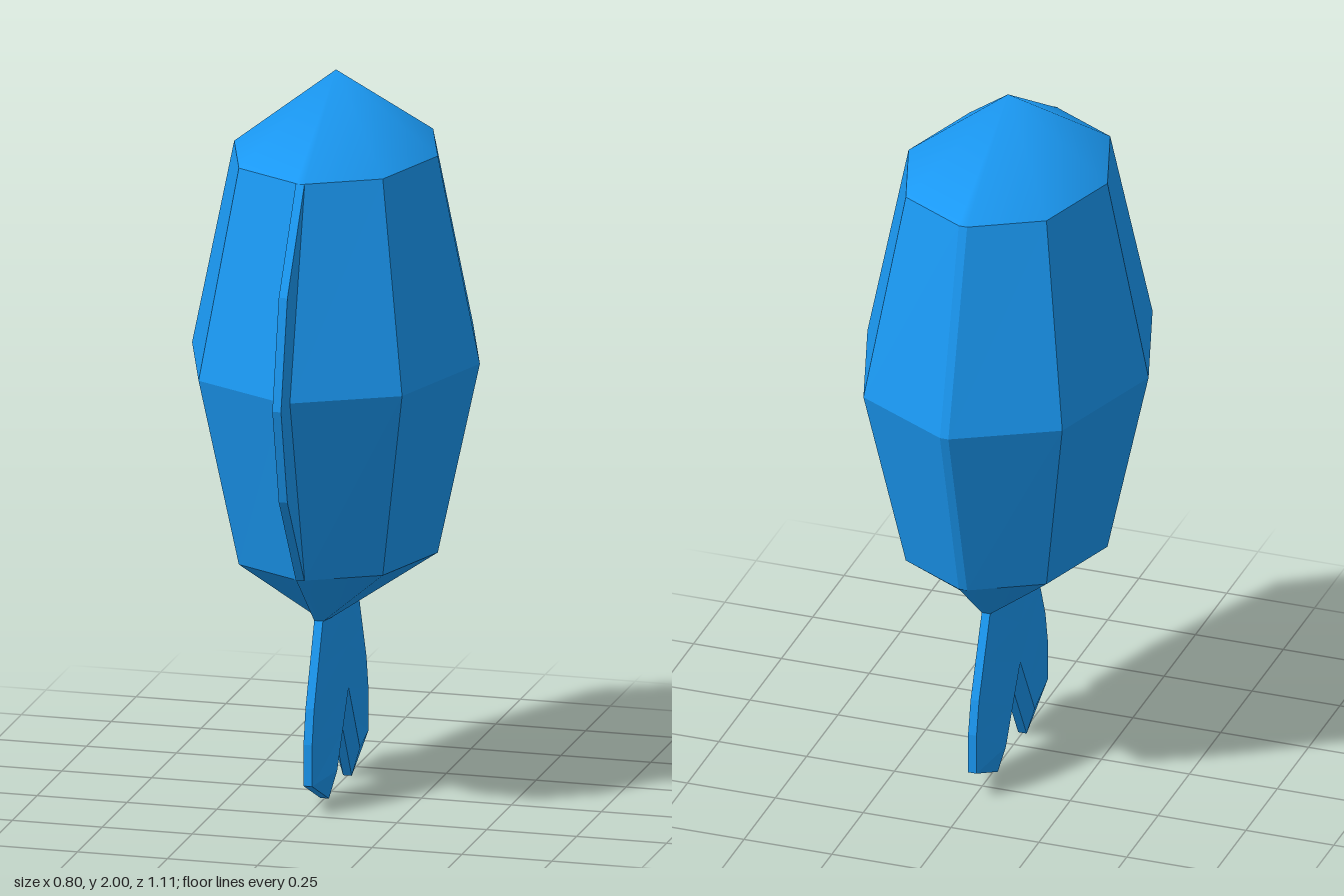
import * as THREE from 'three';
import { mergeVertices } from 'three/addons/utils/BufferGeometryUtils.js';

const MID = -0.045;   // z of the body axis
const EDGE = 0.012;   // half width of the narrow front and back edges
const blue = (flatShading) => new THREE.MeshStandardMaterial({ color: 0x1a98f2, flatShading });

// Skin through closed rings of [x, y, z], listed bottom to top
function loft(rings, extra = [], flip = false) {
  const n = rings[0].length, index = [];
  for (let r = 0; r < rings.length - 1; r++) {
    for (let j = 0; j < n; j++) {
      const a = r * n + j, b = r * n + (j + 1) % n;
      index.push(a, b, b + n, a, b + n, a + n);
    }
  }
  index.push(...extra);
  if (flip) index.reverse();
  const g = new THREE.BufferGeometry();
  g.setAttribute('position', new THREE.Float32BufferAttribute(rings.flat(2), 3));
  g.setIndex(index);
  const merged = mergeVertices(g);
  merged.computeVertexNormals();
  return merged;
}

// Stretched octagon with narrow flats at front and back
function ring(rx, rz, y) {
  const k = Math.SQRT1_2, w = rx > 0 ? EDGE : 0;
  const half = [[w, rz], [k * rx, k * rz], [rx, 0], [k * rx, -k * rz], [w, -rz]];
  const other = half.map(([x, z]) => [-x, z]).reverse();
  return [...half, ...other].map(([x, z]) => [x, y, z + MID]);
}

// One lobe of the forked tail; f = 1 front, -1 back
function tailLobe(f) {
  // each row: outer edge, thick middle, lower ridge as [offset, y]
  const rows = [
    [[0.285, 0.08], [0.115, 0.08], [0.115, 0]],
    [[0.285, 0.195], [0.06, 0.176], [0.06, 0.096]],
    [[0.265, 0.29], [0, 0.28], [0, 0.2]],
    [[0.225, 0.39], [0, 0.4], [0, 0.2]],
    [[0.175, 0.515], [0, 0.515], [0, 0.2]],
  ];
  const T = 0.035;
  const rings = rows.map(([o, i, r]) =>
    [[-EDGE, o], [EDGE, o], [T, i], [EDGE, r], [-EDGE, r], [-T, i]]
      .map(([x, [s, y]]) => [x, y, MID + f * s]));
  const tip = [3, 2, 1, 4, 3, 1, 4, 1, 0, 5, 4, 0];
  return loft(rings, tip, f < 0);
}

export function createModel() {
  const model = new THREE.Group();
  const add = (name, geometry, flat = true) => {
    const mesh = new THREE.Mesh(geometry, blue(flat));
    mesh.name = name;
    model.add(mesh);
  };

  // Faceted body
  const low = ring(0.283, 0.36, 0.675), high = ring(0.283, 0.36, 1.78);
  add('body', loft([low, ring(0.4, 0.51, 1.21), high]));

  // Smooth pointed cap and tapered underside
  add('topCap', loft([high, ring(0, 0, 2)]), false);
  add('underside', loft([ring(0.035, 0.175, 0.51), low]), false);

  // Thin fin along the front
  const fin = new THREE.Shape([
    [0.25, 0.675], [0.318, 0.675], [0.49, 0.94], [0.555, 1.21],
    [0.49, 1.51], [0.318, 1.78], [0.25, 1.78],
  ].map(([z, y]) => new THREE.Vector2(z, y)));
  const finGeometry = new THREE.ExtrudeGeometry(fin, { depth: 2 * EDGE, bevelEnabled: false });
  finGeometry.translate(0, 0, -EDGE).rotateY(-Math.PI / 2);
  add('frontFin', finGeometry);

  // Forked tail
  add('tailFrontLobe', tailLobe(1));
  add('tailBackLobe', tailLobe(-1));
  return model;
}
